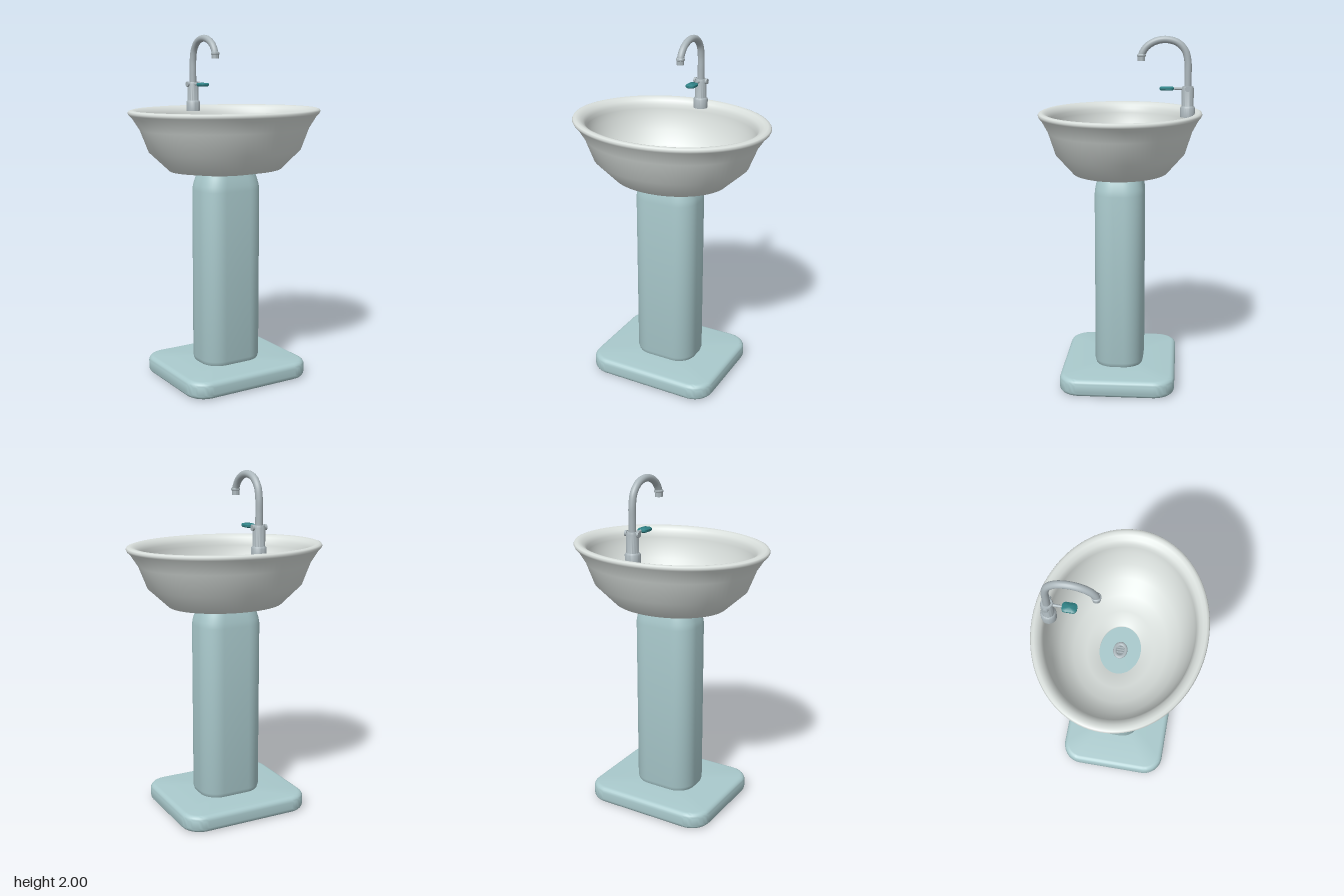
import * as THREE from 'three';
import { toCreasedNormals } from 'three/addons/utils/BufferGeometryUtils.js';

const mat = (color) => new THREE.MeshStandardMaterial({ color });
const V = (x, y) => new THREE.Vector2(x, y);

// Closed solid through rounded-rectangle rings [y, halfX, halfZ, cornerRadius], bottom to top
function loft(rings, steps = 12) {
  const pos = [], idx = [], n = 4 * (steps + 1);
  for (const [y, hx, hz, r] of rings) {
    for (let q = 0; q < 4; q++) {
      const sx = q < 2 ? 1 : -1, sz = q === 0 || q === 3 ? 1 : -1;
      for (let i = 0; i <= steps; i++) {
        const a = (q + i / steps) * Math.PI / 2;
        pos.push(sx * (hx - r) + r * Math.sin(a), y, sz * (hz - r) + r * Math.cos(a));
      }
    }
  }
  const last = (rings.length - 1) * n, bottom = rings.length * n;
  pos.push(0, rings[0][0], 0, 0, rings[rings.length - 1][0], 0);
  for (let i = 0; i < n; i++) {
    const j = (i + 1) % n;
    for (let k = 0; k < last; k += n) {
      idx.push(k + i, k + j, k + n + i, k + j, k + n + j, k + n + i);
    }
    idx.push(bottom, j, i, bottom + 1, last + i, last + j);
  }
  const g = new THREE.BufferGeometry();
  g.setAttribute('position', new THREE.Float32BufferAttribute(pos, 3));
  g.setIndex(idx);
  return toCreasedNormals(g, 0.7);
}

export function createModel() {
  const model = new THREE.Group();
  model.name = 'pedestalSink';
  const ceramic = mat(0xd9dfdc), blue = mat(0xa9c9cc), metal = mat(0xabb6bb), teal = mat(0x2f8286);

  const add = (name, geometry, material, parent = model, x = 0, y = 0, z = 0) => {
    const m = new THREE.Mesh(geometry, material);
    m.name = name;
    m.position.set(x, y, z);
    parent.add(m);
    return m;
  };

  // Foot plate with rounded edges
  const plate = [], bevel = 0.03;
  for (const top of [0, 1]) {
    for (let i = 0; i <= 5; i++) {
      const a = (top ? i : 5 - i) / 5 * Math.PI / 2;
      const inset = bevel * (1 - Math.cos(a)), rise = bevel * (1 - Math.sin(a));
      plate.push([top ? 0.1 - rise : rise, 0.395 - inset, 0.33 - inset, 0.12 - inset]);
    }
  }
  add('footPlate', loft(plate), blue);

  // Column with a tapered shoulder under the basin
  add('column', loft([
    [0.09, 0.175, 0.128, 0.1], [0.105, 0.185, 0.136, 0.107], [0.125, 0.19, 0.141, 0.11],
    [1.12, 0.19, 0.141, 0.11], [1.15, 0.186, 0.138, 0.11], [1.19, 0.174, 0.13, 0.105],
    [1.222, 0.162, 0.122, 0.1],
  ]), blue);

  // Oval basin: outer wall, rolled rim, inner bowl and the rim of the drain opening
  const basin = new THREE.LatheGeometry([
    V(0.143, 1.212), V(0.2, 1.215), V(0.34, 1.235), V(0.46, 1.345), V(0.51, 1.47),
    V(0.553, 1.535), V(0.572, 1.554), V(0.578, 1.566), V(0.572, 1.576), V(0.556, 1.581),
    V(0.535, 1.577), V(0.512, 1.562), V(0.498, 1.54), V(0.495, 1.515), V(0.485, 1.47),
    V(0.455, 1.39), V(0.4, 1.315), V(0.32, 1.266), V(0.23, 1.243), V(0.143, 1.235), V(0.143, 1.212),
  ], 96);
  basin.scale(1, 1, 0.804);
  add('basin', basin, ceramic);

  // Drain ring with a slotted grate
  const drain = new THREE.Group();
  drain.name = 'drain';
  drain.position.y = 1.224;
  drain.scale.z = 0.8;
  model.add(drain);
  const ring = add('drainRing', new THREE.TorusGeometry(0.038, 0.012, 12, 40), metal, drain);
  ring.rotation.x = Math.PI / 2;
  ring.scale.z = 0.6;
  add('drainPlate', new THREE.CylinderGeometry(0.036, 0.036, 0.004, 32), mat(0x8b979c), drain);
  for (const x of [-0.014, 0, 0.014]) {
    add('drainBar', new THREE.BoxGeometry(0.007, 0.006, 0.05), metal, drain, x, 0.003, 0);
  }

  // Tap
  const tap = new THREE.Group();
  tap.name = 'tap';
  tap.position.z = -0.38;
  model.add(tap);
  add('tapBody', toCreasedNormals(new THREE.LatheGeometry([
    V(0, 1.55), V(0.042, 1.55), V(0.042, 1.602), V(0.037, 1.61), V(0.034, 1.612),
    V(0.034, 1.71), V(0.03, 1.722), V(0, 1.722),
  ], 32), 0.6), metal, tap);

  // Swan-neck spout, its nozzle and collar
  const path = new THREE.CatmullRomCurve3([
    [1.7, 0], [1.78, 0], [1.86, 0.002], [1.92, 0.018], [1.963, 0.06], [1.98, 0.12],
    [1.972, 0.18], [1.943, 0.23], [1.905, 0.257], [1.885, 0.262],
  ].map(([y, z]) => new THREE.Vector3(0, y, z)));
  add('spout', new THREE.TubeGeometry(path, 64, 0.02, 16), metal, tap);
  add('nozzle', toCreasedNormals(new THREE.LatheGeometry([
    V(0.014, 1.885), V(0.014, 1.862), V(0.021, 1.862), V(0.021, 1.885),
    V(0.025, 1.888), V(0.025, 1.896), V(0.019, 1.902),
  ], 24), 0.6), metal, tap, 0, 0, 0.262).material = Object.assign(mat(0xabb6bb), { side: THREE.DoubleSide });

  // Side hubs across the body
  const pin = add('crossPin', new THREE.CylinderGeometry(0.012, 0.012, 0.076, 16), metal, tap, 0, 1.71, 0);
  pin.rotation.z = Math.PI / 2;
  for (const s of [-1, 1]) {
    const hub = add('sideHub', new THREE.CylinderGeometry(0.016, 0.016, 0.012, 20), metal, tap, s * 0.037, 1.71, 0);
    hub.rotation.z = Math.PI / 2;
  }

  // Lever and its coloured grip
  const lever = add('lever', new THREE.CylinderGeometry(0.006, 0.009, 0.09, 12), metal, tap, 0, 1.71, 0.065);
  lever.rotation.x = Math.PI / 2;
  add('leverGrip', loft([
    [-0.01, 0.022, 0.034, 0.015], [-0.005, 0.028, 0.04, 0.02],
    [0.005, 0.028, 0.04, 0.02], [0.01, 0.022, 0.034, 0.015],
  ], 6), teal, tap, 0, 1.71, 0.118);

  return model;
}
